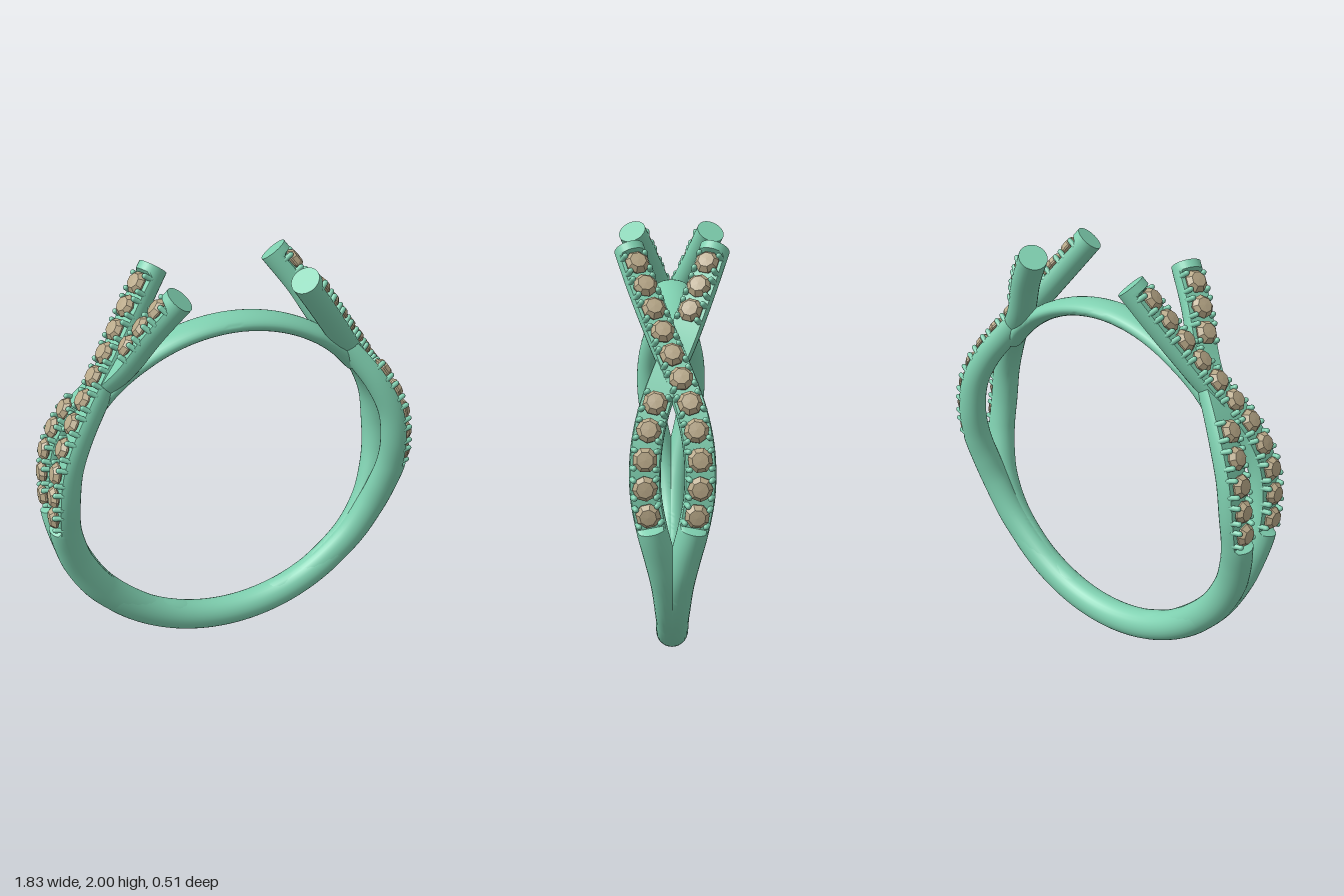
import * as THREE from 'three';
import { toCreasedNormals } from 'three/addons/utils/BufferGeometryUtils.js';

const CENTRE = new THREE.Vector3(0, 0.915, 0);
const metal = new THREE.MeshStandardMaterial({ color: 0x7fd0b0 });
const stone = new THREE.MeshStandardMaterial({ color: 0xb8a888, flatShading: true });

// Frame on a curve: T along it, N away from the ring centre, B sideways
function frameAt(curve, u) {
  const P = curve.getPointAt(u);
  const T = curve.getTangentAt(u);
  const N = P.clone().sub(CENTRE).setZ(0);
  N.addScaledVector(T, -N.dot(T)).normalize();
  return { P, T, N, B: T.clone().cross(N) };
}

// Closed sweep; section(u) gives radial half-height, half-width and the cut height
function sweep(curve, steps, section, sides = 28) {
  const pos = [], index = [];
  const ring = (i) => i * sides;
  for (let i = 0; i <= steps; i++) {
    const { P, N, B } = frameAt(curve, i / steps);
    const { n, b, cut = 1 } = section(i / steps);
    for (let j = 0; j < sides; j++) {
      const a = (j / sides) * Math.PI * 2;
      const v = P.clone()
        .addScaledVector(N, Math.min(n * Math.cos(a), cut))
        .addScaledVector(B, b * Math.sin(a));
      pos.push(v.x, v.y, v.z);
    }
  }
  for (let i = 0; i < steps; i++) {
    for (let j = 0; j < sides; j++) {
      const k = (j + 1) % sides;
      const a = ring(i) + j, b = ring(i) + k, c = ring(i + 1) + j, d = ring(i + 1) + k;
      index.push(a, b, c, b, d, c);
    }
  }
  const s = pos.length / 3;
  for (const u of [0, 1]) {
    const p = curve.getPointAt(u);
    pos.push(p.x, p.y, p.z);
  }
  for (let j = 0; j < sides; j++) {
    const k = (j + 1) % sides;
    index.push(s, k, j, s + 1, ring(steps) + j, ring(steps) + k);
  }
  const g = new THREE.BufferGeometry();
  g.setAttribute('position', new THREE.Float32BufferAttribute(pos, 3));
  g.setIndex(index);
  return toCreasedNormals(g, 0.7);
}

function mesh(name, geometry, material) {
  const m = new THREE.Mesh(geometry, material);
  m.name = name;
  return m;
}

// Centre line of a strand, from its free tip down to the base of the ring
const STRAND = [
  [0.29, 1.96, 0.19], [0.4, 1.81, 0.13], [0.53, 1.63, 0.05], [0.655, 1.46, -0.03],
  [0.75, 1.32, -0.085], [0.815, 1.17, -0.113], [0.84, 1.0, -0.113], [0.84, 0.85, -0.088],
  [0.816, 0.72, -0.058], [0.77, 0.58, -0.03], [0.66, 0.395, -0.012], [0.433, 0.195, -0.003],
  [0.25, 0.113, 0],
];
const FIRST = 0.1, SPACING = 0.115, COUNT = 11;

const gemGeometry = new THREE.LatheGeometry(
  [[0, -0.03], [0.054, -0.003], [0.054, 0.005], [0.036, 0.026], [0, 0.028]]
    .map(([x, y]) => new THREE.Vector2(x, y)), 8);
const prongGeometry = new THREE.CapsuleGeometry(0.0125, 0.034, 4, 10);

// One strand with its cut seat, stones and prongs
function strand(name, isOver) {
  const group = new THREE.Group();
  group.name = name;
  const curve = new THREE.CatmullRomCurve3(STRAND.map(([x, y, z], i) => {
    const dip = !isOver && i === 2 ? 0.012 : 0; // passes just below the other strand
    return new THREE.Vector3(x - dip, y - dip, isOver ? z : -z);
  }), false, 'centripetal');
  curve.arcLengthDivisions = 600;
  const length = curve.getLength();
  const seatEnd = FIRST + SPACING * (COUNT - 0.45);

  group.add(mesh('strandBody', sweep(curve, 180, (u) => {
    const s = u * length;
    const n = THREE.MathUtils.lerp(0.067, 0.075, Math.min(1, s / 1.1));
    return { n, b: 0.067, cut: s > 0.045 && s < seatEnd ? 0.03 : 1 };
  }), metal));

  for (let i = 0; i < COUNT; i++) {
    if (!isOver && i > 2 && i < 6) continue; // no stones under the crossing
    const { P, T, N, B } = frameAt(curve, (FIRST + i * SPACING) / length);
    const setting = new THREE.Group();
    setting.name = 'stoneSetting';
    setting.matrix.makeBasis(T, N, B).setPosition(P);
    setting.matrix.decompose(setting.position, setting.quaternion, setting.scale);
    const gem = mesh('stone', gemGeometry, stone);
    gem.position.y = 0.045;
    gem.rotation.y = Math.PI / 8 + i * 0.4;
    setting.add(gem);
    for (const sx of [-1, 1]) {
      for (const sz of [-1, 1]) {
        const prong = mesh('prong', prongGeometry, metal);
        prong.position.set(sx * 0.038, 0.038, sz * 0.049);
        prong.rotation.x = -sz * 0.25;
        setting.add(prong);
      }
    }
    group.add(setting);
  }
  return group;
}

export function createModel() {
  const model = new THREE.Group();
  model.name = 'ring';

  // Crossing strands; the right side is the left side turned half round
  for (const side of ['left', 'right']) {
    const shoulder = new THREE.Group();
    shoulder.name = side + 'Shoulder';
    shoulder.add(strand('overStrand', true), strand('underStrand', false));
    if (side === 'right') shoulder.rotation.y = Math.PI;
    model.add(shoulder);
  }

  // Solid lower part of the band
  const base = mesh('bandBase', new THREE.TorusGeometry(0.84, 0.075, 28, 60, Math.PI / 2), metal);
  base.rotation.z = -Math.PI * 0.75;
  base.position.copy(CENTRE);
  model.add(base);

  // Thin bridge closing the ring between the crossings
  const arc = [];
  for (let i = 0; i <= 12; i++) {
    const a = THREE.MathUtils.degToRad(38 + (104 * i) / 12);
    arc.push(new THREE.Vector3(0.807 * Math.cos(a), CENTRE.y + 0.807 * Math.sin(a), 0));
  }
  model.add(mesh('bridge', sweep(new THREE.CatmullRomCurve3(arc), 60, (u) => ({
    n: 0.041, b: 0.06 + 0.022 * Math.min(1, 5 * Math.min(u, 1 - u)),
  })), metal));

  return model;
}
